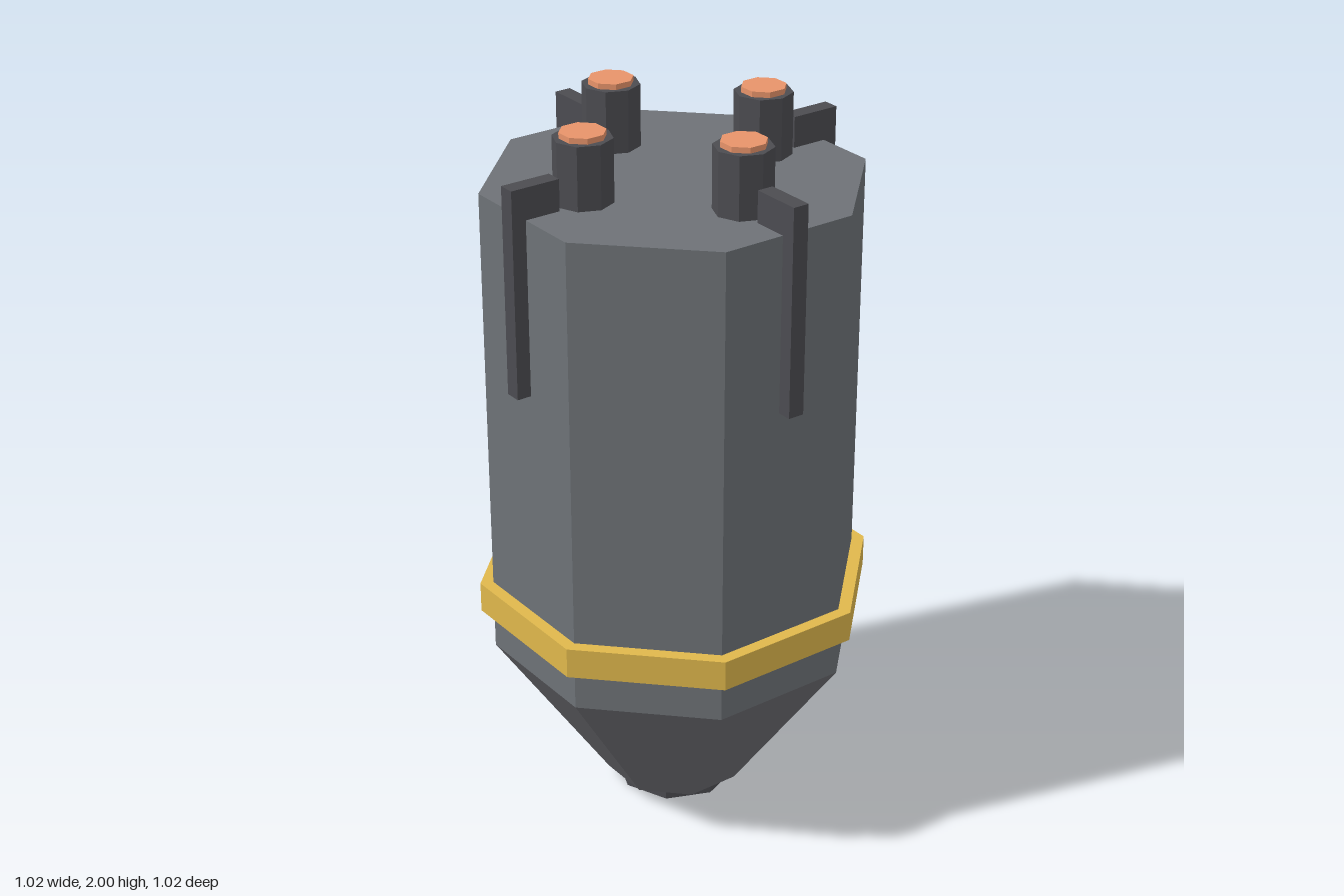
import * as THREE from 'three';

const paint = (color) => new THREE.MeshStandardMaterial({ color, flatShading: true });

export function createModel() {
  const model = new THREE.Group();
  const hull = paint(0x6e7277), lower = paint(0x6c6c71), dark = paint(0x4c4c51);
  const gold = paint(0xe0b84c), copper = paint(0xe8946a);

  // Octagonal prism or frustum between two heights; sizes are half widths.
  // Flats face the axes unless cornersOnAxes is set.
  function octagon(name, material, top, bottom, y0, y1, cornersOnAxes = false) {
    const k = cornersOnAxes ? 1 : 1 / Math.cos(Math.PI / 8);
    const geometry = new THREE.CylinderGeometry(top * k, bottom * k, y1 - y0, 8);
    if (!cornersOnAxes) geometry.rotateY(Math.PI / 8);
    const mesh = new THREE.Mesh(geometry, material);
    mesh.name = name;
    mesh.position.y = (y0 + y1) / 2;
    return mesh;
  }

  // Main casing, from the bottom up
  model.add(
    octagon('bottomNozzle', dark, 0.168, 0.168, 0, 0.035, true),
    octagon('taperedBase', lower, 0.47, 0.18, 0.03, 0.485),
    octagon('body', hull, 0.47, 0.47, 0.485, 1.815),
    octagon('band', gold, 0.503, 0.503, 0.6, 0.685)
  );

  // One post with its glowing cap and one fin on each of the four sides
  for (let i = 0; i < 4; i++) {
    const side = new THREE.Group();
    side.name = 'postAndFin' + (i + 1);
    const post = octagon('post', dark, 0.078, 0.078, 1.81, 1.985, true);
    const cap = octagon('postCap', copper, 0.056, 0.056, 1.97, 2.0);
    post.position.z = cap.position.z = 0.283;
    const fin = new THREE.Mesh(new THREE.BoxGeometry(0.045, 0.565, 0.14), dark);
    fin.name = 'fin';
    fin.position.set(0, 1.6175, 0.44);
    side.add(post, cap, fin);
    side.rotation.y = (i * Math.PI) / 2;
    model.add(side);
  }
  return model;
}
